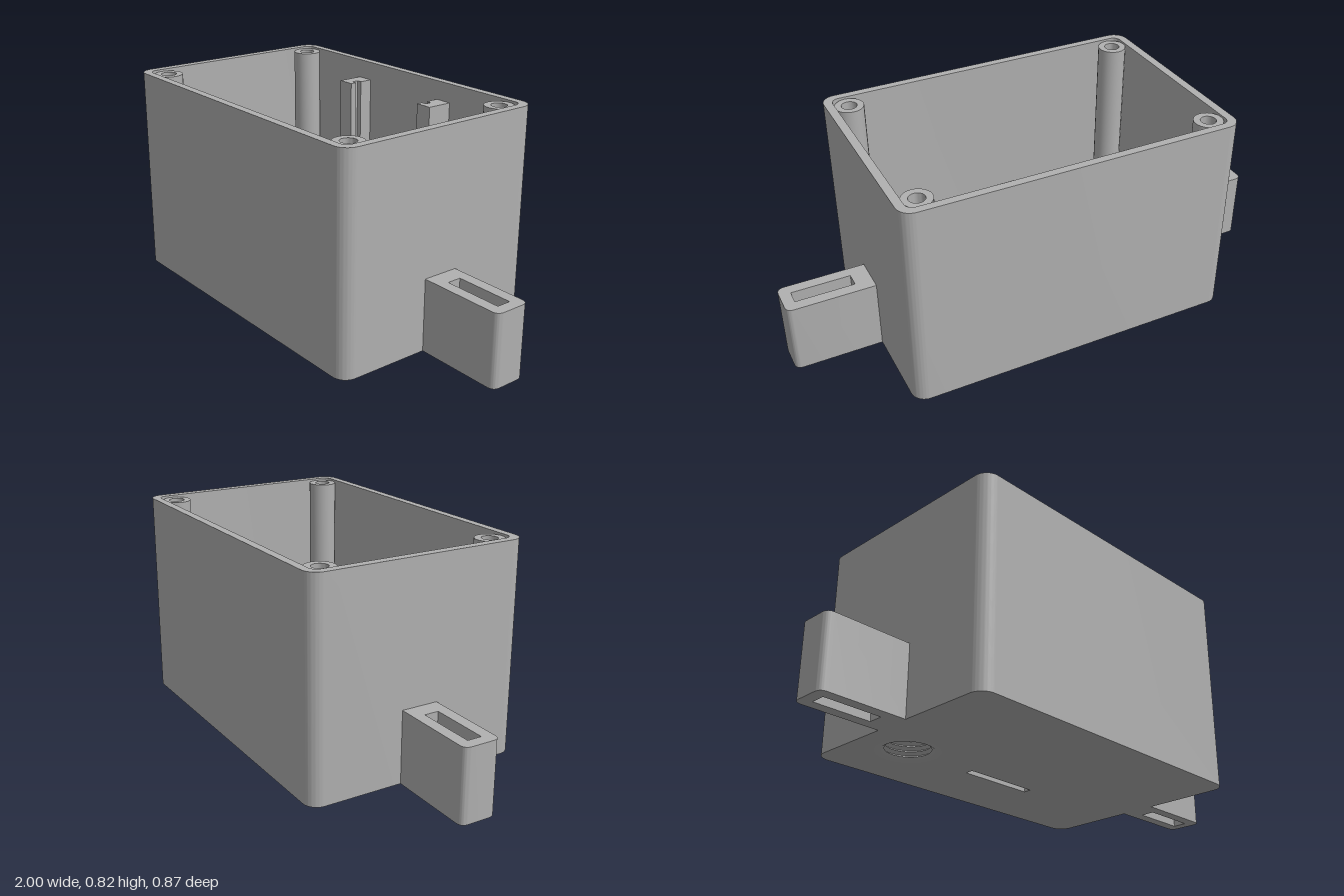
import * as THREE from 'three';
import { toCreasedNormals } from 'three/addons/utils/BufferGeometryUtils.js';

const FLOOR = 0.04, HEIGHT = 0.82;

// Outlines are drawn in plan: shape x = model x, shape y = -model z.
function rectPath(x0, x1, z0, z1, r, Type = THREE.Shape) {
  const p = new Type(), a = -z1, b = -z0;
  if (!r) {
    p.moveTo(x0, a); p.lineTo(x1, a); p.lineTo(x1, b); p.lineTo(x0, b); p.closePath();
    return p;
  }
  p.moveTo(x0 + r, a);
  p.lineTo(x1 - r, a); p.absarc(x1 - r, a + r, r, -Math.PI / 2, 0);
  p.lineTo(x1, b - r); p.absarc(x1 - r, b - r, r, 0, Math.PI / 2);
  p.lineTo(x0 + r, b); p.absarc(x0 + r, b - r, r, Math.PI / 2, Math.PI);
  p.lineTo(x0, a + r); p.absarc(x0 + r, a + r, r, Math.PI, Math.PI * 1.5);
  return p;
}

function circlePath(x, z, r, Type = THREE.Path) {
  const p = new Type();
  p.absarc(x, -z, r, 0, Math.PI * 2);
  return p;
}

const polygon = pts => new THREE.Shape(pts.map(([x, z]) => new THREE.Vector2(x, -z)));

// Raises a plan outline from y0 to y1.
function raise(shape, y0, y1, holes = []) {
  shape.holes.push(...holes);
  const g = new THREE.ExtrudeGeometry(shape, { depth: y1 - y0, bevelEnabled: false, curveSegments: 12 });
  g.rotateX(-Math.PI / 2).translate(0, y0, 0);
  return toCreasedNormals(g, 0.6);
}

export function createModel() {
  const group = new THREE.Group();
  group.name = 'enclosure';
  const plastic = new THREE.MeshStandardMaterial({ color: 0xb0b0b0 });
  plastic.name = 'grey plastic';
  const add = (name, geometry) => {
    const mesh = new THREE.Mesh(geometry, plastic);
    mesh.name = name;
    group.add(mesh);
    return mesh;
  };

  // Case walls and floor
  const inner = Type => rectPath(-0.627, 0.627, -0.405, 0.405, 0.03, Type);
  add('caseWalls', raise(rectPath(-0.66, 0.66, -0.436, 0.436, 0.055), 0, HEIGHT, [inner(THREE.Path)]));
  const port = { x: -0.46, z: -0.155, r: 0.145 };
  add('floor', raise(inner(THREE.Shape), 0, FLOOR, [
    circlePath(port.x, port.z, port.r - 0.005),
    rectPath(-0.16, 0.155, -0.172, -0.14, 0, THREE.Path),
  ]));

  // Screw bosses in the corners
  for (const sx of [-1, 1]) for (const sz of [-1, 1]) {
    const x = sx * 0.572, z = sz * 0.348;
    add('screwBoss', raise(circlePath(x, z, 0.056, THREE.Shape), FLOOR, 0.812, [circlePath(x, z, 0.03)]));
  }

  // Slotted mounting ears
  for (const s of [-1, 1]) {
    const span = (a, b) => s > 0 ? [a, b] : [-b, -a];
    const ear = new THREE.Shape();
    ear.moveTo(s * 0.655, -0.072);
    ear.lineTo(s * 0.97, -0.072);
    ear.quadraticCurveTo(s, -0.072, s, -0.042);
    ear.lineTo(s, 0.042);
    ear.quadraticCurveTo(s, 0.072, s * 0.97, 0.072);
    ear.lineTo(s * 0.655, 0.072);
    add('mountingEar', raise(ear, 0, 0.28, [rectPath(...span(0.728, 0.957), -0.028, 0.028, 0, THREE.Path)]));
  }

  // Threaded port: closed ring profile with a zigzag bore
  const top = 0.14, turns = 7, profile = [[0.1, 0], [port.r, 0], [port.r, top], [0.1, top]];
  for (let i = 0; i < turns; i++) {
    const y = top * (1 - (i + 0.5) / turns);
    profile.push([0.085, y], [0.1, top * (1 - (i + 1) / turns)]);
  }
  const ring = new THREE.LatheGeometry(profile.map(p => new THREE.Vector2(...p)), 40);
  add('threadedPort', toCreasedNormals(ring, 0.6)).position.set(port.x, 0, port.z);

  // Notched guide posts on the back wall, notches facing each other
  for (const s of [-1, 1]) {
    const c = -0.004;
    const pts = [[0.27, -0.406], [0.2, -0.406], [0.2, -0.352], [0.222, -0.352], [0.222, -0.325],
      [0.2, -0.325], [0.2, -0.3], [0.27, -0.3]];
    add('guidePost', raise(polygon(pts.map(([x, z]) => [s * x + c, z])), FLOOR, 0.745));
  }

  // Switch pillars either side of the floor slot
  for (const [x0, x1] of [[-0.27, -0.16], [0.155, 0.265]]) {
    add('switchPillar', raise(rectPath(x0, x1, -0.21, -0.1), FLOOR, 0.15,
      [circlePath((x0 + x1) / 2, -0.155, 0.014)]));
  }

  // Small board clips with facing notches
  for (const s of [-1, 1]) {
    const pts = [[0.4, 0.11], [0.4, 0.163], [0.482, 0.163], [0.482, 0.11],
      [0.455, 0.11], [0.455, 0.136], [0.428, 0.136], [0.428, 0.11]];
    add('boardClip', raise(polygon(pts.map(([x, z]) => [x, s * z - 0.162])), FLOOR, 0.25));
  }

  // Curved cradles with a support block and a thin end rib
  const side = new THREE.Shape();
  side.moveTo(0.02, FLOOR);
  side.lineTo(0.352, FLOOR);
  side.lineTo(0.352, 0.2);
  side.lineTo(0.345, 0.2);
  side.absarc(0.203, 0.2, 0.142, 0, Math.PI, true);
  side.lineTo(0.02, 0.2);
  side.closePath();
  for (const s of [-1, 1]) {
    const c = -0.003;
    const g = new THREE.ExtrudeGeometry(side, { depth: 0.084, bevelEnabled: false, curveSegments: 24 });
    g.rotateY(-Math.PI / 2);
    add('cradle', toCreasedNormals(g, 0.6)).position.x = s * 0.363 + c + 0.042;
    const block = (name, x, w, h) => add(name, new THREE.BoxGeometry(w, h, 0.348)
      .translate(s * x + c, FLOOR + h / 2, 0.184));
    block('supportBlock', 0.252, 0.112, 0.1);
    block('endRib', 0.524, 0.036, 0.2);
  }
  return group;
}
